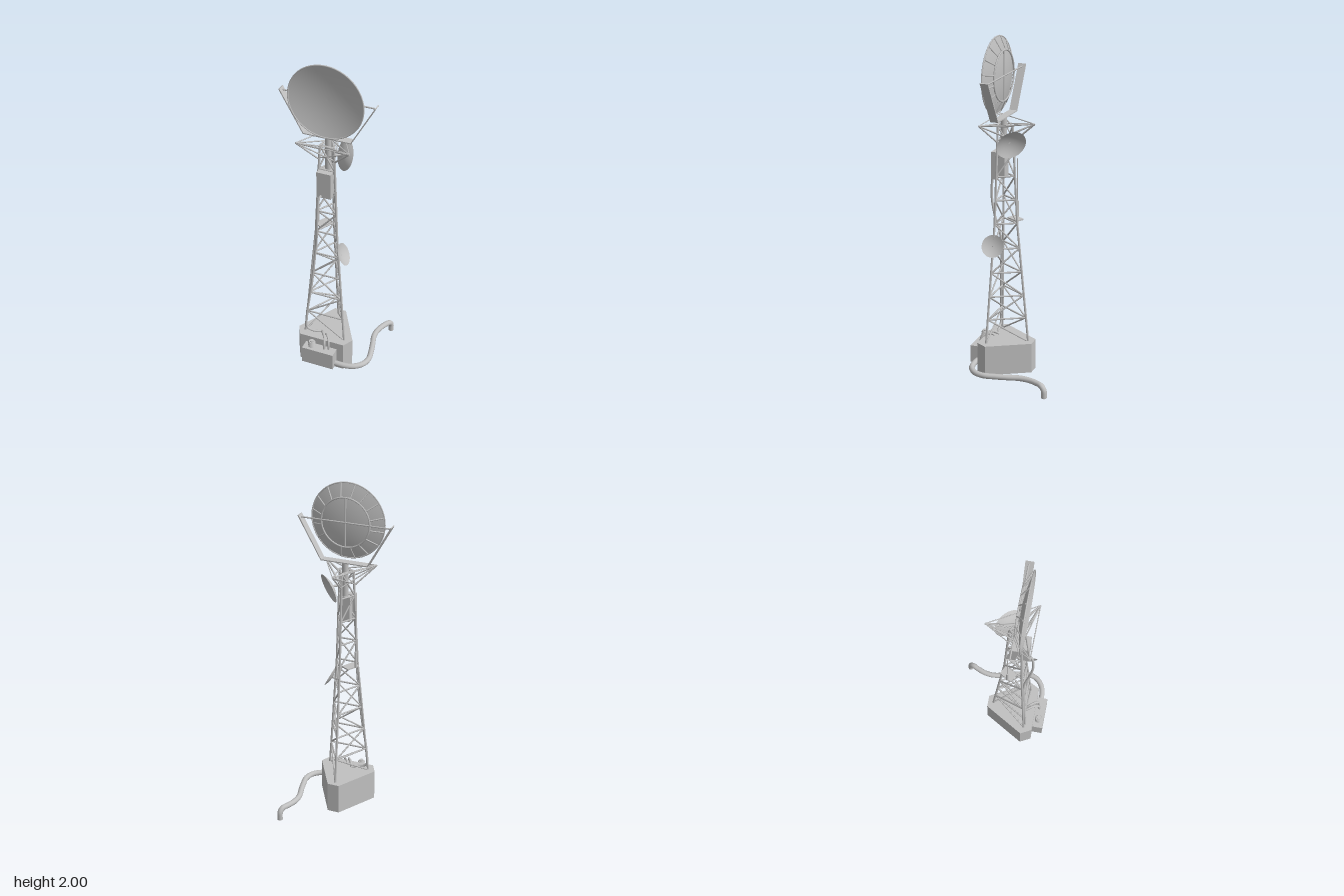
import * as THREE from 'three';

const grey = new THREE.MeshStandardMaterial({ color: 0xc0c0c0, side: THREE.DoubleSide });
grey.name = 'pale grey';
const V = (x, y, z) => new THREE.Vector3(x, y, z);
const UP = V(0, 1, 0);
const CX = -0.005, CZ = 0.088; // tower axis

export function createModel() {
  const root = new THREE.Group();
  root.name = 'latticeRadioTower';

  function group(name, parent = root) {
    const g = new THREE.Group();
    g.name = name;
    parent.add(g);
    return g;
  }
  function add(parent, name, geometry, x = 0, y = 0, z = 0) {
    const m = new THREE.Mesh(geometry, grey);
    m.name = name;
    m.position.set(x, y, z);
    parent.add(m);
    return m;
  }
  function rod(parent, name, a, b, r, sides = 6) {
    const d = b.clone().sub(a);
    const m = add(parent, name, new THREE.CylinderGeometry(r, r, d.length(), sides));
    m.position.copy(a).addScaledVector(d, 0.5);
    m.quaternion.setFromUnitVectors(UP, d.normalize());
    return m;
  }
  function tube(parent, name, pts, r, seg = 40, sides = 8) {
    const curve = new THREE.CatmullRomCurve3(pts.map(p => V(...p)));
    return add(parent, name, new THREE.TubeGeometry(curve, seg, r, sides));
  }
  const box = (parent, name, w, h, d, x, y, z) =>
    add(parent, name, new THREE.BoxGeometry(w, h, d), x, y, z);
  // Shallow bowl opening towards +y, rim in the plane y = 0
  function bowl(radius, depth) {
    const pts = [];
    for (let i = 0; i <= 10; i++) {
      const t = i / 10;
      pts.push(new THREE.Vector2(radius * t, depth * (t * t - 1)));
    }
    return new THREE.LatheGeometry(pts, 40);
  }

  // Footing: triangle with cut corners
  const outline = [[-0.04, -0.09], [0.03, -0.09], [0.168, 0.147], [0.135, 0.21], [-0.143, 0.21], [-0.177, 0.147]];
  const footing = new THREE.ExtrudeGeometry(
    new THREE.Shape(outline.map(([x, z]) => new THREE.Vector2(x, -z))),
    { depth: 0.185, bevelEnabled: false });
  footing.rotateX(-Math.PI / 2);
  add(root, 'footing', footing, 0, 0.02, 0);

  // Three-legged lattice mast, steeper above the kink
  const mast = group('latticeMast');
  const mastRadius = y => y < 0.93
    ? THREE.MathUtils.mapLinear(y, 0.2, 0.93, 0.144, 0.075)
    : THREE.MathUtils.mapLinear(y, 0.93, 1.5, 0.075, 0.048);
  const corner = (k, r, y) => {
    const a = -Math.PI / 2 + k * Math.PI * 2 / 3;
    return V(CX + r * Math.cos(a), y, CZ + r * Math.sin(a));
  };
  const leg = (k, y) => corner(k, mastRadius(y), y);
  const levels = [0.2, 0.35, 0.49, 0.635, 0.78, 0.93, 1.07, 1.21, 1.35, 1.5];
  for (let k = 0; k < 3; k++) {
    rod(mast, 'lowerLeg', leg(k, 0.2), leg(k, 0.93), 0.007, 8);
    rod(mast, 'upperLeg', leg(k, 0.93), leg(k, 1.5), 0.007, 8);
    levels.forEach((y, i) => {
      if (i) rod(mast, 'crossBar', leg(k, y), leg(k + 1, y), 0.005);
      if (i < levels.length - 1) {
        const flip = i % 2;
        rod(mast, 'diagonal', leg(k + flip, y), leg(k + 1 - flip, levels[i + 1]), 0.005);
      }
    });
  }

  // Flared triangular head frame
  const head = group('headFrame');
  for (let k = 0; k < 3; k++) {
    const tip = corner(k, 0.18, 1.525);
    rod(head, 'edgeRod', tip, corner(k + 1, 0.18, 1.525), 0.003);
    rod(head, 'lowerStrut', tip, leg(k, 1.41), 0.005);
    for (const j of [1, 2]) {
      rod(head, 'upperStrut', tip, leg(k + j, 1.5), 0.004);
      rod(head, 'sideStrut', tip, leg(k + j, 1.42), 0.004);
    }
  }
  rod(root, 'topPost', V(CX, 1.35, 0.093), V(CX, 1.553, 0.093), 0.018, 16);

  // Folded strip yoke that carries the main dish
  const arm = [[0.14, 1.55], [0.278, 1.795]];
  const yokeShape = new THREE.Shape();
  const t = 0.006;
  [[-arm[1][0], arm[1][1]], [-arm[0][0], arm[0][1]], arm[0], arm[1],
    [arm[1][0] - t, arm[1][1] + t / 2], [arm[0][0] - t / 2, arm[0][1] + t],
    [-arm[0][0] + t / 2, arm[0][1] + t], [-arm[1][0] + t, arm[1][1] + t / 2]]
    .forEach(([x, y], i) => i ? yokeShape.lineTo(x, y) : yokeShape.moveTo(x, y));
  add(root, 'yoke', new THREE.ExtrudeGeometry(yokeShape, { depth: 0.047, bevelEnabled: false }), CX, 0, 0.069);

  // Main dish with rim, back ring, ribs and crossed bars
  const main = group('mainDish');
  main.position.set(CX, 1.783, 0.131);
  add(main, 'bowl', bowl(0.217, 0.033).rotateX(Math.PI / 2));
  add(main, 'rim', new THREE.TorusGeometry(0.217, 0.004, 6, 48));
  add(main, 'backRing', new THREE.TorusGeometry(0.143, 0.005, 6, 40), 0, 0, -0.041);
  for (let i = 0; i < 16; i++) {
    const a = (i + 0.5) * Math.PI / 8;
    const c = Math.cos(a), s = Math.sin(a);
    rod(main, 'rib', V(0.143 * c, 0.143 * s, -0.041), V(0.215 * c, 0.215 * s, -0.004), 0.004);
  }
  rod(main, 'uprightBar', V(0, -0.143, -0.041), V(0, 0.143, -0.041), 0.005);
  rod(main, 'axle', V(-0.265, 0, -0.042), V(0.265, 0, -0.042), 0.0045);

  // Two side dishes with mounting arms
  function sideDish(name, radius, depth, at, normal, anchor) {
    const g = group(name);
    const d = add(g, 'bowl', bowl(radius, depth), at.x, at.y, at.z);
    const n = normal.normalize();
    d.quaternion.setFromUnitVectors(UP, n);
    rod(g, 'mountingArm', at.clone().addScaledVector(n, -depth), anchor, 0.007, 8);
  }
  sideDish('upperSideDish', 0.088, 0.028, V(0.065, 1.41, 0.02), V(0.66, -0.33, -0.67), V(0.01, 1.42, 0.07));
  sideDish('lowerSideDish', 0.066, 0.016, V(0.1, 0.81, 0.122), V(0.88, 0.45, -0.08), leg(1, 0.8));

  // Equipment boxes near the mast top
  box(root, 'frontEquipmentBox', 0.085, 0.16, 0.034, -0.008, 1.27, 0.139);
  box(root, 'innerEquipmentBox', 0.06, 0.15, 0.042, -0.008, 1.272, 0.1);

  // Shelf on the rear side face, with a whip aerial
  const shelf = group('aerialShelf');
  const plate = box(shelf, 'shelfPlate', 0.055, 0.008, 0.082, -0.058, 0.937, 0.045);
  plate.rotation.y = -Math.PI / 6;
  rod(shelf, 'aerialBase', V(-0.09, 0.937, 0.045), V(-0.09, 1.035, 0.045), 0.008, 10);
  rod(shelf, 'aerialWhip', V(-0.09, 1.03, 0.045), V(-0.09, 1.29, 0.045), 0.003);

  // Cabinet beside the footing, with a stacked insulator
  const cabinet = group('cabinet');
  box(cabinet, 'cabinetBody', 0.197, 0.107, 0.065, -0.006, 0.107, 0.241);
  for (let i = 0; i < 3; i++)
    add(cabinet, 'insulatorDisc', new THREE.CylinderGeometry(0.019, 0.023, 0.009, 8), -0.054, 0.17 + i * 0.013, 0.241);
  rod(cabinet, 'insulatorCore', V(-0.054, 0.155, 0.241), V(-0.054, 0.208, 0.241), 0.012, 8);

  // Cables
  tube(root, 'mastCable', [[-0.02, 1.195, 0.14], [-0.028, 1.2, 0.165], [-0.035, 1.08, 0.183],
    [-0.045, 0.95, 0.17], [-0.065, 0.82, 0.142], [-0.09, 0.55, 0.15], [-0.118, 0.32, 0.163],
    [-0.115, 0.23, 0.165], [-0.07, 0.213, 0.16], [-0.03, 0.208, 0.14]], 0.007, 64);
  tube(root, 'cabinetCable', [[-0.03, 0.205, 0.14], [-0.015, 0.222, 0.165], [0.01, 0.222, 0.2],
    [0.022, 0.2, 0.228], [0.022, 0.155, 0.235]], 0.008);
  tube(root, 'cabinetCable', [[0, 0.205, 0.155], [0.015, 0.222, 0.175], [0.038, 0.215, 0.205],
    [0.048, 0.19, 0.225], [0.048, 0.155, 0.228]], 0.006);

  // Conduit snaking from the cabinet round to the back and into the ground
  tube(root, 'conduit', [[0.08, 0.07, 0.23], [0.15, 0.07, 0.23], [0.205, 0.07, 0.215], [0.248, 0.07, 0.175],
    [0.263, 0.07, 0.12], [0.252, 0.07, 0.05], [0.238, 0.07, -0.01], [0.218, 0.07, -0.09],
    [0.221, 0.07, -0.15], [0.24, 0.07, -0.205], [0.258, 0.067, -0.24], [0.265, 0.048, -0.257],
    [0.266, 0.02, -0.26], [0.266, 0, -0.26]], 0.0165, 90, 14);

  return root;
}
